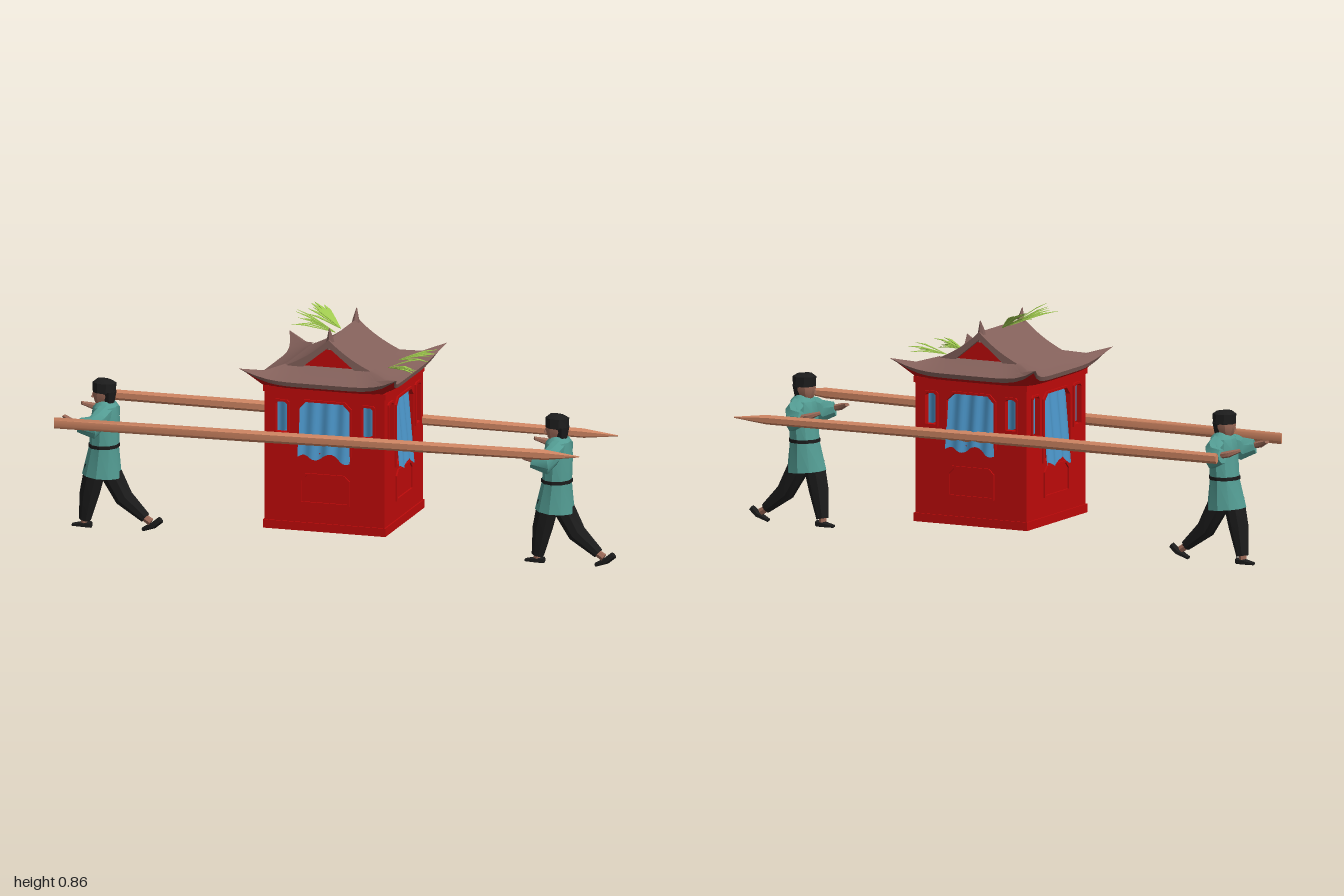
import * as THREE from 'three';
import { toCreasedNormals, mergeGeometries } from 'three/addons/utils/BufferGeometryUtils.js';

const mat = (name, color, extra = {}) => new THREE.MeshStandardMaterial({ name, color, ...extra });
const red = mat('red lacquer', 0xbe0a0a);
const roofBrown = mat('roof brown', 0x83605a);
const wood = mat('pole wood', 0xd08663);
const blue = mat('curtain blue', 0x4c97cb, { side: THREE.DoubleSide });
const teal = mat('robe teal', 0x539c93);
const black = mat('trouser black', 0x1c1c1c);
const skin = mat('skin', 0x9c6a58);
const green = mat('leaf green', 0x9fc94e, { side: THREE.DoubleSide });

function add(parent, name, geometry, material, x = 0, y = 0, z = 0) {
  const m = new THREE.Mesh(geometry, material);
  m.name = name;
  m.position.set(x, y, z);
  parent.add(m);
  return m;
}

function surface(positions, index, crease = 0.6) {
  const g = new THREE.BufferGeometry();
  g.setAttribute('position', new THREE.Float32BufferAttribute(positions, 3));
  g.setIndex(index);
  return toCreasedNormals(g, crease);
}

// Closed tube through sections [x, y, z, side radius, radius along ref]
function loft(sections, ref, sides = 8, crease = 0.6) {
  const pts = sections.map(s => new THREE.Vector3(s[0], s[1], s[2]));
  const last = pts.length - 1, pos = [], idx = [];
  pts.forEach((p, i) => {
    const t = pts[Math.min(i + 1, last)].clone().sub(pts[Math.max(i - 1, 0)]).normalize();
    const v = ref.clone().addScaledVector(t, -ref.dot(t)).normalize();
    const u = v.clone().cross(t);
    for (let k = 0; k < sides; k++) {
      const a = (k + 0.5) / sides * Math.PI * 2;
      const q = p.clone().addScaledVector(u, Math.cos(a) * sections[i][3]).addScaledVector(v, Math.sin(a) * sections[i][4]);
      pos.push(q.x, q.y, q.z);
    }
  });
  const c0 = pos.length / 3;
  pos.push(...pts[0].toArray(), ...pts[last].toArray());
  for (let k = 0; k < sides; k++) {
    const n = (k + 1) % sides;
    for (let i = 0; i < last; i++) {
      const a = i * sides + k, b = i * sides + n;
      idx.push(a, b, a + sides, b, b + sides, a + sides);
    }
    idx.push(c0, n, k, c0 + 1, last * sides + k, last * sides + n);
  }
  return surface(pos, idx, crease);
}
const Y = new THREE.Vector3(0, 1, 0), Z = new THREE.Vector3(0, 0, 1);

// Rectangle with clipped upper corners
function windowPath(Type, cx, hw, y0, y1, c) {
  const p = new Type();
  [[-hw, y0], [hw, y0], [hw, y1 - c], [hw - c, y1], [c - hw, y1], [-hw, y1 - c]]
    .forEach(([x, y], i) => i ? p.lineTo(cx + x, y) : p.moveTo(cx + x, y));
  p.closePath();
  return p;
}
const extrude = (shape, depth) => new THREE.ExtrudeGeometry(shape, { depth, bevelEnabled: false });

function frame(cx, hw, y0, y1, c, w) {
  const s = windowPath(THREE.Shape, cx, hw + w, y0 - w, y1 + w, c);
  s.holes.push(windowPath(THREE.Path, cx, hw, y0, y1, c));
  return extrude(s, 0.007);
}

// Wavy cloth that swings outward towards its ragged hem
function curtain(width, y0, y1, swing) {
  const g = new THREE.PlaneGeometry(width, y1 - y0, 24, 6);
  const p = g.attributes.position;
  for (let i = 0; i < p.count; i++) {
    const x = p.getX(i), t = 0.5 - p.getY(i) / (y1 - y0);
    p.setZ(i, Math.sin(x * 110) * 0.004 + t * swing);
    p.setY(i, (y0 + y1) / 2 + p.getY(i) + t * (Math.sin(x * 60) * 0.012 + Math.abs(x) * -0.15));
  }
  g.computeVertexNormals();
  return g;
}

function buildCabin() {
  const cabin = new THREE.Group();
  cabin.name = 'cabin';
  add(cabin, 'plinth', new THREE.BoxGeometry(0.45, 0.03, 0.45), red, 0, 0.115, 0);
  add(cabin, 'cornice', new THREE.BoxGeometry(0.45, 0.022, 0.45), red, 0, 0.604, 0);
  for (let i = 0; i < 4; i++) {
    const side = new THREE.Group();
    side.name = 'cabinSide';
    side.rotation.y = i * Math.PI / 2;
    cabin.add(side);
    const wide = i % 2 === 1;
    const windows = wide
      ? [[0, 0.095, 0.33, 0.565, 0.025], [-0.155, 0.023, 0.425, 0.565, 0.008], [0.155, 0.023, 0.425, 0.565, 0.008]]
      : [[0, 0.093, 0.385, 0.565, 0.025], [-0.158, 0.021, 0.45, 0.56, 0.008], [0.158, 0.021, 0.45, 0.56, 0.008]];
    const wall = windowPath(THREE.Shape, 0, 0.22, 0.12, 0.6, 0);
    windows.forEach(w => wall.holes.push(windowPath(THREE.Path, ...w)));
    add(side, 'wall', extrude(wall, 0.02), red, 0, 0, 0.2);
    windows.forEach(w => add(side, 'windowFrame', frame(...w, 0.008), red, 0, 0, 0.219));
    add(side, 'lowerPanelFrame', frame(0, 0.085, 0.205, 0.3, 0.02, 0.008), red, 0, 0, 0.219);
    // Curtains
    add(side, 'curtain', curtain(0.19, windows[0][2] - 0.01, 0.57, 0.024), blue, 0, 0, 0.208);
    for (const s of [-1, 1])
      add(side, 'sideCurtain', curtain(0.046, windows[1][2], 0.565, 0), blue, s * windows[2][0], 0, 0.205);
  }
  return cabin;
}

// Four-sided skirt from rows [half width, height, corner flare, corner lift]
function skirt(rows) {
  const m = 16, pos = [], idx = [];
  for (let s = 0; s < 4; s++) {
    const base = pos.length / 3;
    for (const [ext, y, flare, lift] of rows) for (let k = 0; k <= m; k++) {
      const u = k / m * 2 - 1, c = Math.abs(u) ** 6;
      const e = ext + flare * c;
      pos.push(...new THREE.Vector3(u * e, y + lift * c, e).applyAxisAngle(Y, s * Math.PI / 2).toArray());
    }
    for (let r = 0; r < rows.length - 1; r++) for (let k = 0; k < m; k++) {
      const a = base + r * (m + 1) + k, b = a + m + 1;
      idx.push(a, a + 1, b, a + 1, b + 1, b);
    }
  }
  return surface(pos, idx, 0.5);
}

function buildRoof() {
  const roof = new THREE.Group();
  roof.name = 'roof';
  const lower = [0.25, 0.622, 0.025, 0.05];
  add(roof, 'eaves', skirt([lower, [0.255, 0.638, 0.035, 0.046], [0.21, 0.652, 0.01, 0.014], [0.16, 0.68, 0, 0]]), roofBrown);
  add(roof, 'soffit', skirt([[0.212, 0.603, 0, 0], lower]), red);
  // Ridge roof with concave slopes
  const s = new THREE.Shape();
  s.moveTo(-0.17, 0.672);
  s.quadraticCurveTo(-0.07, 0.712, 0, 0.78);
  s.quadraticCurveTo(0.07, 0.712, 0.17, 0.672);
  s.lineTo(0.1, 0.672);
  s.lineTo(0, 0.752);
  s.lineTo(-0.1, 0.672);
  add(roof, 'ridgeRoof', toCreasedNormals(extrude(s, 0.334), 0.5), roofBrown, 0, 0, -0.167);
  const tri = new THREE.Shape([[-0.1, 0.672], [0.1, 0.672], [0, 0.752]].map(p => new THREE.Vector2(...p)));
  add(roof, 'gable', extrude(tri, 0.306), red, 0, 0, -0.153);
  // Upturned ridge horns
  for (const d of [-1, 1])
    add(roof, 'ridgeHorn', loft([[0, 0.745, d * 0.145, 0.02, 0.022], [0, 0.785, d * 0.148, 0.01, 0.014], [0, 0.82, d * 0.157, 0.001, 0.001]], Z, 6), roofBrown);
  return roof;
}

// Sprays of leaf blades fanning from a root towards (dx, dy, dz)
let seed = 7;
const rand = () => (seed = (seed * 16807) % 2147483647) / 2147483647;
function leafSpray(root, dir, spread, count, width) {
  const blades = [];
  for (let i = 0; i < count; i++) {
    const t = i / (count - 1) * 2 - 1, len = 0.7 + 0.4 * rand();
    const d = [dir[0] * len, (dir[1] + (rand() - 0.5) * 0.05) * len, (dir[2] + t * spread) * len];
    const at = (f, sag) => [root[0] + d[0] * f, root[1] + d[1] * f + sag, root[2] + d[2] * f];
    blades.push(loft([[...at(0, 0), 0.002, 0.001], [...at(0.35, 0.004), width * 0.6, 0.0015],
      [...at(0.7, 0.006), width, 0.0015], [...at(1, 0), 0.001, 0.0005]], Y, 4));
  }
  return mergeGeometries(blades);
}

// Bearer walking towards -x
function buildBearer() {
  const man = new THREE.Group();
  man.name = 'bearer';
  const c = 0.035;
  add(man, 'robe', loft([[0.777, 0.195, c, 0.07, 0.07], [0.785, 0.3, c, 0.052, 0.058], [0.79, 0.4, c, 0.05, 0.064],
    [0.79, 0.445, c, 0.043, 0.055], [0.788, 0.467, c, 0.022, 0.025]], Z, 10), teal);
  add(man, 'belt', loft([[0.785, 0.299, c, 0.055, 0.061], [0.785, 0.311, c, 0.055, 0.061]], Z, 10), black);
  add(man, 'head', loft([[0.786, 0.445, c, 0.02, 0.02], [0.78, 0.462, c, 0.028, 0.026], [0.782, 0.485, c, 0.038, 0.034],
    [0.785, 0.515, c, 0.036, 0.034]], Z, 8), skin);
  add(man, 'nose', new THREE.ConeGeometry(0.007, 0.02, 4), skin, 0.744, 0.483, c);
  add(man, 'hair', loft([[0.802, 0.457, c, 0.019, 0.024], [0.802, 0.5, c, 0.027, 0.036]], Z, 8), black);
  add(man, 'cap', loft([[0.786, 0.496, c, 0.041, 0.039], [0.786, 0.53, c, 0.043, 0.036], [0.787, 0.541, c, 0.028, 0.018]], Z, 8), black);
  for (const s of [-1, 1]) {
    add(man, 'sleeve', loft([[0.795, 0.428, c + s * 0.025, 0.032, 0.032], [0.79, 0.41, c + s * 0.075, 0.03, 0.038],
      [0.775, 0.39, c + s * 0.108, 0.027, 0.042], [0.73, 0.4, c + s * 0.122, 0.021, 0.026]], Y, 8), teal);
    add(man, 'hand', loft([[0.735, 0.403, c + s * 0.121, 0.011, 0.011], [0.705, 0.41, c + s * 0.12, 0.014, 0.012],
      [0.67, 0.423, c + s * 0.1, 0.01, 0.006]], Y, 6), skin);
  }
  // Legs and shoes
  add(man, 'frontLeg', loft([[0.76, 0.23, 0.052, 0.04, 0.032], [0.735, 0.13, 0.045, 0.036, 0.03], [0.714, 0.03, 0.034, 0.022, 0.02]], Z), black);
  add(man, 'backLeg', loft([[0.79, 0.23, 0.022, 0.042, 0.03], [0.855, 0.115, 0.024, 0.034, 0.027], [0.935, 0.05, 0.028, 0.019, 0.018]], Z), black);
  add(man, 'frontAnkle', loft([[0.714, 0.035, 0.034, 0.013, 0.013], [0.712, 0.012, 0.033, 0.014, 0.014]], Z, 6), skin);
  add(man, 'backAnkle', loft([[0.93, 0.052, 0.028, 0.013, 0.013], [0.955, 0.036, 0.028, 0.014, 0.014]], Z, 6), skin);
  add(man, 'frontShoe', loft([[0.737, 0.012, 0.033, 0.014, 0.012], [0.705, 0.011, 0.032, 0.02, 0.011], [0.668, 0.007, 0.03, 0.012, 0.006]], Y, 6), black);
  add(man, 'backShoe', loft([[0.992, 0.048, 0.028, 0.012, 0.012], [0.965, 0.026, 0.028, 0.019, 0.012], [0.925, 0.008, 0.028, 0.012, 0.007]], Y, 6), black);
  return man;
}

export function createModel() {
  const model = new THREE.Group();
  model.name = 'sedanChair';
  const cabin = buildCabin();
  cabin.position.x = -0.01;
  const roof = buildRoof();
  roof.position.x = -0.013;
  model.add(cabin, roof);
  // Carrying poles, blunt at one end and pointed at the other
  add(model, 'frontPole', loft([[-1, 0.421, 0.233, 0.005, 0.02], [-0.3, 0.428, 0.231, 0.014, 0.021], [0.8, 0.441, 0.221, 0.017, 0.019],
    [0.925, 0.442, 0.217, 0.002, 0.002]], Y, 6), wood);
  add(model, 'backPole', loft([[-0.99, 0.418, -0.23, 0.01, 0.019], [-0.3, 0.419, -0.225, 0.016, 0.021], [0.8, 0.413, -0.224, 0.017, 0.017],
    [0.925, 0.412, -0.228, 0.002, 0.002]], Y, 6), wood);
  // Leaves on the ridge and on the +x slope
  for (const d of [-1, 1]) {
    add(model, 'ridgeLeaves', leafSpray([-0.03, 0.775, d * 0.03 + 0.005], [-0.125, 0.065, d * 0.06], 0.055, 9, 0.011), green);
    add(model, 'slopeLeaves', leafSpray([0.175, 0.67, d * 0.06 + 0.005], [0.11, 0.012, d * 0.03], 0.045, 8, 0.009), green);
  }
  // Bearers at both ends
  const rear = buildBearer(), lead = buildBearer();
  lead.position.x = -1.665;
  model.add(rear, lead);
  return model;
}
